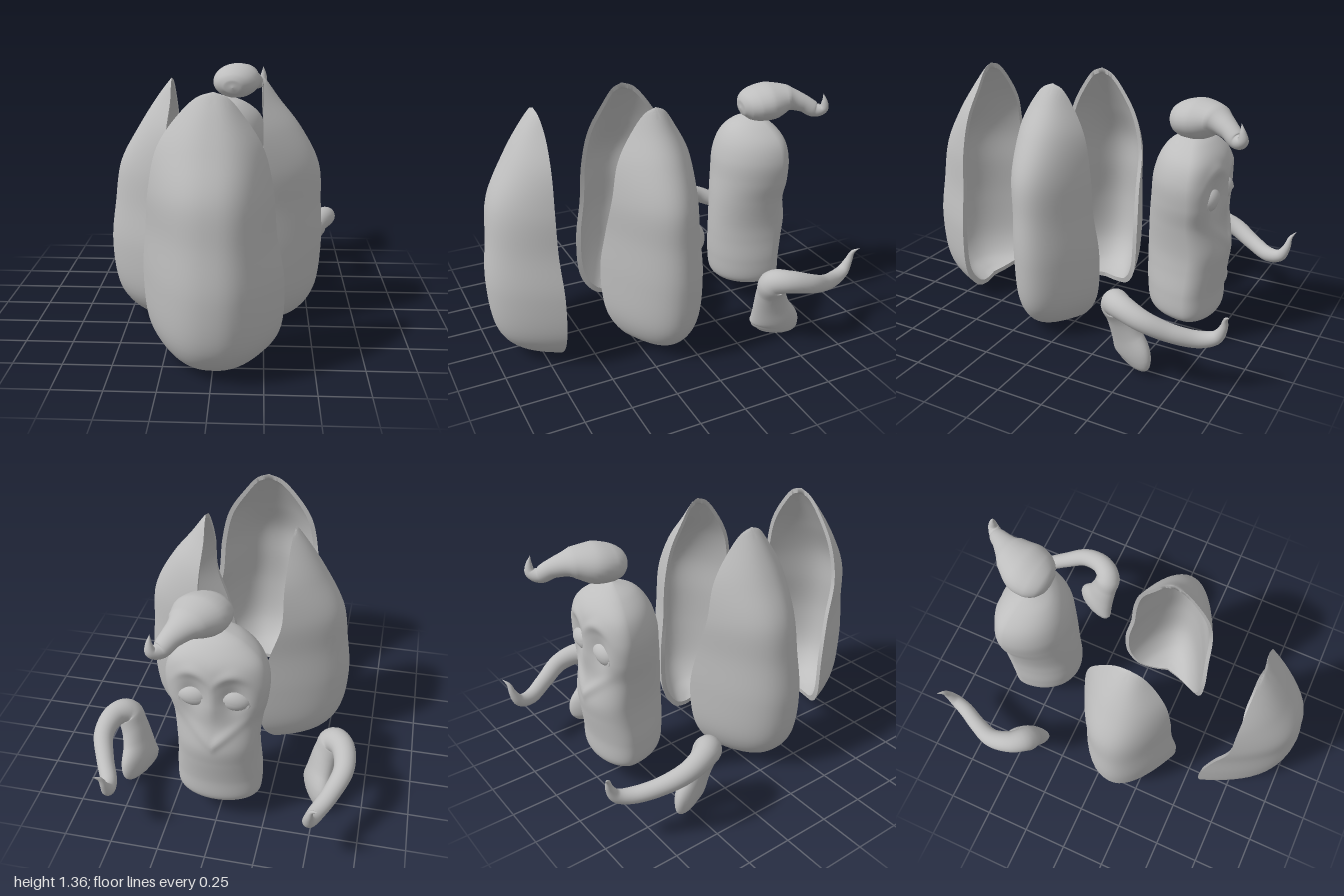
import * as THREE from 'three';
import { toCreasedNormals } from 'three/addons/utils/BufferGeometryUtils.js';

const clay = new THREE.MeshStandardMaterial({ color: 0xbebebe });
clay.name = 'clay grey';

const V = (x, y, z) => new THREE.Vector3(x, y, z);
const curve = (pts) => new THREE.CatmullRomCurve3(pts.map((p) => V(...p)));

function addMesh(parent, name, geometry) {
  const mesh = new THREE.Mesh(geometry, clay);
  mesh.name = name;
  parent.add(mesh);
  return mesh;
}

// Skin a list of closed rings of equal length
function loft(rings) {
  const n = rings[0].length, index = [];
  for (let i = 0; i < rings.length - 1; i++) {
    for (let j = 0; j < n; j++) {
      const k = (j + 1) % n;
      const a = i * n + j, b = i * n + k, c = b + n, d = a + n;
      index.push(a, b, c, a, c, d);
    }
  }
  const geo = new THREE.BufferGeometry().setFromPoints(rings.flat());
  geo.setIndex(index);
  geo.computeVertexNormals();
  return geo;
}

// Tapered tube through points [x, y, z, radius, squash], squashed along one direction
function taperedTube(pts, squashDir, steps = 84, sides = 28) {
  const path = curve(pts.map((p) => p.slice(0, 3)));
  const size = curve(pts.map((p) => [p[3], p[4] ?? 1, 0]));
  const rings = [];
  let normal = V(1, 0, 0);
  for (let i = 0; i <= steps; i++) {
    const t = i / steps, c = path.getPoint(t), tan = path.getTangent(t), s = size.getPoint(t);
    normal = normal.clone().addScaledVector(tan, -normal.dot(tan)).normalize();
    const side = tan.clone().cross(normal);
    const r = i === 0 || i === steps ? 0 : Math.max(0, s.x);
    rings.push(Array.from({ length: sides }, (_, j) => {
      const a = (j / sides) * Math.PI * 2;
      const o = normal.clone().multiplyScalar(Math.cos(a) * r).addScaledVector(side, Math.sin(a) * r);
      return o.addScaledVector(squashDir, o.dot(squashDir) * (s.y - 1)).add(c);
    }));
  }
  return loft(rings);
}

// Hollow husk petal facing +z: two rim curves and a ridge curve, with an inner skin.
// fullness pushes the upper ridge outwards, roundness fills out the cross-section
function petalGeometry(fullness, roundness) {
  const foot = [0, 0.005, 0.05], tip = [0, 1.36, 0];
  const left = curve([foot, [-0.12, 0.016, 0.02], [-0.235, 0.06, -0.03], [-0.325, 0.18, -0.085],
    [-0.356, 0.44, -0.105], [-0.335, 0.68, -0.06], [-0.31, 0.9, 0], [-0.265, 1.1, 0],
    [-0.165, 1.25, 0], [-0.075, 1.335, 0], tip]);
  const right = curve([foot, [0.12, 0.016, 0.02], [0.235, 0.06, 0], [0.325, 0.18, 0],
    [0.345, 0.44, 0], [0.305, 0.68, 0.01], [0.285, 0.9, 0.01], [0.235, 1.1, 0],
    [0.14, 1.25, -0.01], [0.065, 1.335, -0.005], tip]);
  const ridge = curve([foot, [0, 0.018, 0.11], [0, 0.065, 0.205], [0, 0.18, 0.285],
    [0, 0.44, 0.32], [0, 0.68, 0.3 + fullness * 0.5], [0, 0.9, 0.27 + fullness], [0, 1.1, 0.17 + fullness],
    [0, 1.25, 0.08], [0, 1.335, 0.02], tip]);
  const steps = 70, across = 30, rings = [];
  for (let i = 0; i <= steps; i++) {
    const t = i / steps, L = left.getPoint(t), R = right.getPoint(t);
    const mid = L.clone().lerp(R, 0.5), bulge = ridge.getPoint(t).sub(mid);
    const outer = [], inner = [];
    for (let j = 0; j <= across; j++) {
      const u = -Math.cos((j / across) * Math.PI);
      const p = L.clone().lerp(R, (u + 1) / 2).addScaledVector(bulge, 1 - Math.abs(u) ** roundness);
      outer.push(p);
      const q = mid.clone().lerp(p, 0.91);
      q.y = 0.68 + (q.y - 0.68) * 0.96;
      inner.unshift(q);
    }
    rings.push([...outer, ...inner]);
  }
  return toCreasedNormals(loft(rings), 0.8);
}

// Body, egg-shaped in plan, with a sunken face on its flatter -z side
function bodyGeometry() {
  // [half width, y, z at +z side, z at -z side]
  const rows = [[0, 0.135, -0.57, -0.57], [0.17, 0.14, -0.42, -0.72], [0.215, 0.18, -0.37, -0.75],
    [0.222, 0.3, -0.35, -0.757], [0.212, 0.43, -0.345, -0.775], [0.21, 0.53, -0.345, -0.785],
    [0.225, 0.68, -0.35, -0.76], [0.25, 0.8, -0.36, -0.77], [0.255, 0.92, -0.37, -0.765],
    [0.22, 1.02, -0.4, -0.745], [0.13, 1.1, -0.46, -0.68], [0, 1.15, -0.58, -0.58]];
  const near = curve(rows.map((r) => [r[0], r[1], r[2]]));
  const far = curve(rows.map((r) => [r[0], r[1], r[3]]));
  const bump = (d, w) => Math.exp(-((d / w) ** 2));
  const steps = 110, sides = 88, rings = [];
  for (let i = 0; i <= steps; i++) {
    const a = near.getPoint(i / steps), b = far.getPoint(i / steps);
    const widest = a.z + (b.z - a.z) * 0.68;
    rings.push(Array.from({ length: sides }, (_, j) => {
      const th = (j / sides) * Math.PI * 2, c = Math.cos(th);
      const p = V(a.x * Math.sin(th), (a.y + b.y) / 2, widest + ((c > 0 ? a.z : b.z) - widest) * Math.abs(c));
      const facing = Math.max(0, -c), x = Math.abs(p.x);
      const socket = bump(x - 0.1, 0.07) * bump(p.y - 0.84, 0.11);
      const brow = bump(p.y - 0.985 + (x - 0.1) ** 2 * 6, 0.03) * bump(x - 0.1, 0.09);
      const chin = bump(p.y - 0.57 - 0.85 * x, 0.035) * bump(x, 0.16);
      p.z += facing * (0.045 * socket - 0.012 * brow - 0.012 * chin);
      return p;
    }));
  }
  return loft(rings);
}

export function createModel() {
  const model = new THREE.Group();
  model.name = 'sprout with husk';

  // Three husk petals: name, fullness, roundness, x, y, z, turn, width, depth, height
  [['frontPetal', 0, 2.45, 0, 0, 0.68, 0, 1, 1, 1],
    ['leftPetal', 0.025, 2.05, 0.235, 0.008, 0.125, Math.PI / 2, 0.79, 1.01, 0.99],
    ['rightPetal', 0, 2.2, -0.25, 0.012, 0.1, -Math.PI / 2 - 0.07, 0.86, 1.04, 0.98],
  ].forEach(([name, fullness, roundness, x, y, z, turn, w, d, h]) => {
    const mesh = addMesh(model, name, petalGeometry(fullness, roundness));
    mesh.position.set(x, y, z);
    mesh.rotation.y = turn;
    mesh.scale.set(w, h, d);
  });

  // Body
  addMesh(model, 'body', bodyGeometry());

  // Curled tuft on the head
  addMesh(model, 'tuft', taperedTube([
    [0.05, 1.205, -0.475, 0], [0.051, 1.206, -0.482, 0.04, 1.35], [0.055, 1.213, -0.51, 0.073, 1.4],
    [0.063, 1.223, -0.56, 0.093, 1.45], [0.08, 1.235, -0.64, 0.1, 1.42], [0.115, 1.245, -0.73, 0.074, 1.4],
    [0.165, 1.22, -0.81, 0.048, 1.15], [0.205, 1.185, -0.87, 0.038], [0.232, 1.2, -0.9, 0.028],
    [0.238, 1.24, -0.9, 0.016], [0.235, 1.285, -0.89, 0]], V(1, 0, 0)));

  for (const [label, s] of [['left', 1], ['right', -1]]) {
    // Half-closed eye with its heavy upper lid and thin lower lid
    const eye = addMesh(model, label + 'Eye', new THREE.SphereGeometry(1, 28, 18));
    eye.position.set(s * 0.1, 0.815, -0.7);
    eye.scale.set(0.077, 0.054, 0.045);
    const lid = addMesh(model, label + 'UpperLid', new THREE.SphereGeometry(1, 28, 14, 0, Math.PI * 2, 0, Math.PI / 2));
    lid.position.set(s * 0.1, 0.825, -0.697);
    lid.scale.set(0.086, 0.064, 0.056);
    lid.rotation.z = -s * 0.12;
    const lower = addMesh(model, label + 'LowerLid', new THREE.TorusGeometry(0.073, 0.009, 8, 24, Math.PI));
    lower.position.set(s * 0.1, 0.815, -0.717);
    lower.rotation.z = Math.PI;
    lower.scale.y = 0.75;

    // Leafy limb: broad flat foot, bent shoulder and curled tip
    addMesh(model, label + 'Limb', taperedTube([
      [0.486, 0.015, -0.48, 0], [0.487, 0.022, -0.48, 0.08, 0.28], [0.49, 0.05, -0.482, 0.12, 0.35],
      [0.497, 0.1, -0.482, 0.135, 0.42], [0.512, 0.21, -0.45, 0.1, 0.6], [0.535, 0.31, -0.428, 0.08, 0.8],
      [0.57, 0.39, -0.42, 0.07], [0.62, 0.405, -0.48, 0.062], [0.642, 0.375, -0.6, 0.053],
      [0.595, 0.32, -0.73, 0.046], [0.535, 0.29, -0.85, 0.042], [0.512, 0.31, -0.925, 0.034],
      [0.512, 0.37, -0.96, 0.021], [0.525, 0.425, -0.973, 0.011], [0.553, 0.456, -0.998, 0],
    ].map(([x, ...rest]) => [s * x, ...rest]), V(s * 0.89, 0, 0.456)));
  }
  return model;
}
